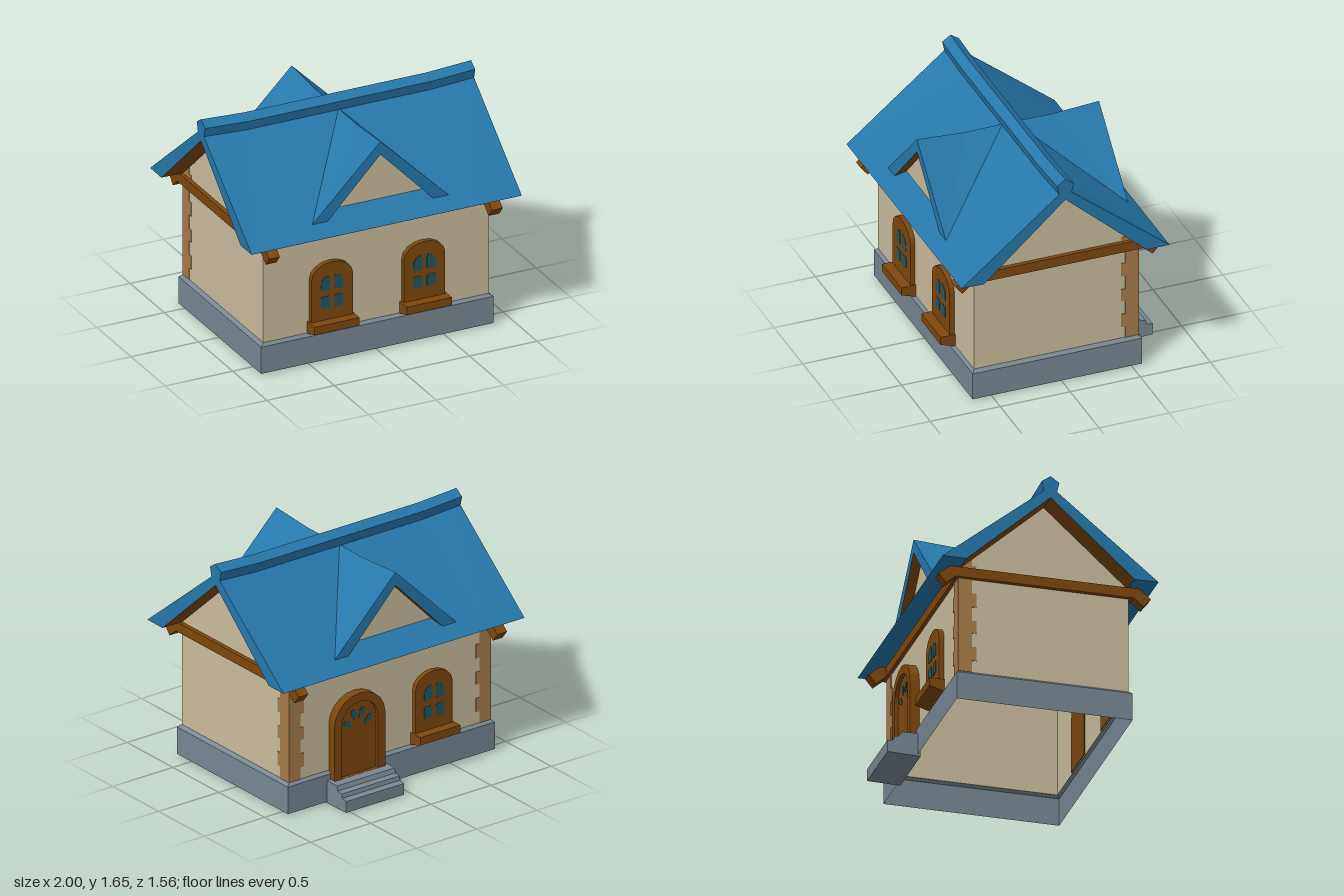
import * as THREE from 'three';

const paint = (name, color) => {
  const m = new THREE.MeshStandardMaterial({ color, side: THREE.DoubleSide });
  m.name = name;
  return m;
};

// Flat-shaded geometry from a list of convex polygons
function polygons(faces) {
  const pos = [];
  for (const f of faces)
    for (let i = 1; i < f.length - 1; i++) pos.push(...f[0], ...f[i], ...f[i + 1]);
  const g = new THREE.BufferGeometry();
  g.setAttribute('position', new THREE.Float32BufferAttribute(pos, 3));
  g.computeVertexNormals();
  return g;
}

// Quads between successive rows of points
function loft(rows, closed) {
  const faces = [];
  for (let r = 0; r < rows.length - 1; r++) {
    const a = rows[r], b = rows[r + 1], n = a.length;
    for (let i = 0; i < (closed ? n : n - 1); i++) {
      const j = (i + 1) % n;
      faces.push([a[i], a[j], b[j], b[i]]);
    }
  }
  return faces;
}

const rect = (x, z, y) => [[-x, y, z], [x, y, z], [x, y, -z], [-x, y, -z]];

// Solid running along x with a [z, y] profile
function prism(profile, x0, x1) {
  const rows = [x0, x1].map(x => profile.map(([z, y]) => [x, y, z]));
  return polygons([...loft(rows, true), rows[0].slice().reverse(), rows[1]]);
}

// Points of a round-topped outline
function arch(half, bottom, spring, top, n = 8) {
  const p = [new THREE.Vector2(-half, bottom), new THREE.Vector2(half, bottom)];
  for (let i = 0; i <= n; i++) {
    const a = Math.PI * i / n;
    p.push(new THREE.Vector2(half * Math.cos(a), spring + (top - spring) * Math.sin(a)));
  }
  return p;
}

function slab(shape, depth, z = 0) {
  return new THREE.ExtrudeGeometry(shape, { depth, bevelEnabled: false }).translate(0, 0, z);
}

export function createModel() {
  const blue = paint('roofBlue', 0x2678ab);
  const cream = paint('plasterCream', 0xcabd9c);
  const brown = paint('woodBrown', 0x7e470e);
  const gray = paint('stoneGray', 0x788792);
  const tan = paint('quoinTan', 0xa87c4a);
  const teal = paint('glassTeal', 0x20565f);

  const model = new THREE.Group();
  const house = new THREE.Group();
  house.name = 'house';
  house.position.z = 0.035;
  model.add(house);
  const add = (parent, name, geo, mat) => {
    const m = new THREE.Mesh(geo, mat);
    m.name = name;
    parent.add(m);
    return m;
  };
  const group = (name, x, z, turn) => {
    const g = new THREE.Group();
    g.name = name;
    g.position.set(x, 0, z);
    g.rotation.y = turn;
    house.add(g);
    return g;
  };

  // Plinth and wall shell, open below
  add(house, 'plinth', polygons(loft([rect(0.86, 0.605, 0.01), rect(0.86, 0.605, 0.205), rect(0.835, 0.585, 0.225)], true)), gray);
  add(house, 'walls', polygons([
    ...loft([rect(0.835, 0.585, 0.22), rect(0.835, 0.585, 0.97)], true),
    ...[-1, 1].map(s => [[s * 0.835, 0.97, s * 0.58], [s * 0.835, 0.97, -s * 0.58], [s * 0.835, 1.49, 0]]),
  ]), cream);

  // Main roof, its ends lifted slightly at the ridge
  const stations = [[-1, 0.018], [-0.68, 0], [0.68, 0], [1, 0.018]];
  const along = (profile) => stations.map(([x, lift]) => profile.map(([z, y, w = 1]) => [x, y + lift * w, z]));
  const outer = along([[0.58, 0.97, 0], [0.743, 0.972, 0], [0, 1.556], [-0.743, 0.972, 0], [-0.58, 0.97, 0]]);
  const inner = along([[0.58, 0.97, 0], [0, 1.49, 0], [-0.58, 0.97, 0]]);
  const verges = [0, 3].flatMap(i => [
    [outer[i][0], outer[i][1], outer[i][2], inner[i][1]],
    [inner[i][1], outer[i][2], outer[i][3], outer[i][4]],
  ]);
  add(house, 'roof', polygons([...loft(outer, false), ...verges]), blue);
  add(house, 'roofUnderside', polygons(loft(inner, false)), brown);
  const cap = along([[0, 1.628], [0.06, 1.587], [0.045, 1.52], [-0.045, 1.52], [-0.06, 1.587]]);
  add(house, 'ridgeCap', polygons([...loft(cap, true), cap[0], cap[3]]), blue);

  // Dormers, front and back
  for (const turn of [0, Math.PI]) {
    const d = group(turn ? 'backDormer' : 'frontDormer', 0, 0, turn);
    const skin = [], under = [], f = 0.65;
    for (const s of [-1, 1]) {
      const peak = [0, 1.545, f], foot = [s * 0.505, 1.045, f];
      const dip = [0, 1.522, 0.3], back = [0, 1.526, 0.035];
      const innerPeak = [0, 1.45, f], innerFoot = [s * 0.39, 1.045, f];
      skin.push([peak, foot, dip], [dip, foot, back], [peak, innerPeak, innerFoot, foot]);
      under.push([innerPeak, innerFoot, [s * 0.39, 1.045, 0.55], [0, 1.45, 0.55]]);
    }
    add(d, 'dormerRoof', polygons(skin), blue);
    add(d, 'dormerUnderside', polygons(under), brown);
    add(d, 'dormerGable', polygons([[[-0.433, 1, 0.585], [0.433, 1, 0.585], [0, 1.45, 0.585]]]), cream);
  }

  // Ring beam and rafter ends
  for (const s of [-1, 1]) {
    add(house, 'eaveBeam', new THREE.BoxGeometry(1.73, 0.07, 0.04).translate(0, 0.935, s * 0.59), brown);
    add(house, 'gableBeam', new THREE.BoxGeometry(0.04, 0.07, 1.14).translate(s * 0.845, 0.935, 0), brown);
    for (const t of [-1, 1]) {
      const profile = [[0.73, 0.905], [0.68, 0.843], [0.575, 0.932], [0.575, 0.97], [0.65, 0.97]];
      add(house, 'rafterEnd', prism(profile.map(([z, y]) => [t * z, y]), s * 0.785, s * 0.865), brown);
    }
  }

  // Toothed corner stones on the back corners
  const courses = [0.225, 0.31, 0.41, 0.51, 0.6, 0.7, 0.8, 0.9];
  const quoin = (tops) => {
    const p = [[0, 0.225]];
    courses.forEach((y, i) => {
      const w = i % 2 ? 0.126 : 0.095;
      p.push([w, y]);
      if (i < 7) p.push([w, courses[i + 1]]);
    });
    return slab(new THREE.Shape([...p, ...tops].map(q => new THREE.Vector2(...q))), 0.009, -0.0045);
  };
  const sideQuoin = quoin([[0.126, 1], [0.095, 1], [0.095, 1.05], [0, 0.965]]);
  const backQuoin = quoin([[0.126, 0.97], [0, 0.97]]);
  for (const s of [-1, 1]) {
    const side = add(house, 'sideCornerStones', sideQuoin, tan);
    side.position.set(s * 0.835, 0, -0.5895);
    side.rotation.y = -Math.PI / 2;
    const back = add(house, 'backCornerStones', backQuoin, tan);
    back.position.set(s * 0.8395, 0, -0.585);
    back.scale.x = -s;
  }

  // Arched windows with sills
  const frame = slab(new THREE.Shape(arch(0.153, 0.23, 0.62, 0.728)), 0.04, -0.005);
  const sill = prism([[0, 0.31], [0.105, 0.31], [0.105, 0.253], [0, 0.22]], -0.167, 0.167);
  const lowPane = [[0.02, 0.395], [0.072, 0.395], [0.083, 0.41], [0.083, 0.47], [0.075, 0.482], [0.025, 0.482], [0.016, 0.47], [0.016, 0.405]];
  const highPane = [[0.022, 0.525], [0.075, 0.525], [0.083, 0.538], [0.08, 0.59], [0.062, 0.617], [0.025, 0.632], [0.016, 0.615], [0.016, 0.54]];
  const paneShape = (pts, s = 1) => new THREE.Shape(pts.map(([x, y]) => new THREE.Vector2(s * x, y)));
  for (const [x, z, turn] of [[-0.342, 0.585, 0], [0.342, 0.585, 0], [-0.342, -0.585, Math.PI]]) {
    const w = group('window', x, z, turn);
    add(w, 'windowFrame', frame, brown);
    add(w, 'windowSill', sill, brown);
    for (const s of [-1, 1])
      for (const pts of [lowPane, highPane])
        add(w, 'windowPane', slab(paneShape(pts, s), 0.005, 0.033), teal);
  }

  // Back door with a fan of small panes
  const door = group('door', 0.295, -0.585, Math.PI);
  const surround = new THREE.Shape(arch(0.21, 0.165, 0.56, 0.75, 10));
  surround.holes.push(new THREE.Path(arch(0.15, 0.166, 0.55, 0.69, 10)));
  add(door, 'doorFrame', slab(surround, 0.07, -0.005), brown);
  add(door, 'doorLeaf', slab(new THREE.Shape(arch(0.155, 0.165, 0.55, 0.695, 10)), 0.045, -0.005), brown);
  for (const [x, y, tilt] of [[-0.085, 0.535, 0.9], [-0.032, 0.595, 0.3], [0.032, 0.595, -0.3], [0.085, 0.535, -0.9]]) {
    const petal = [[-0.012, -0.035], [0.012, -0.035], [0.022, 0.015], [0.014, 0.033], [-0.014, 0.033], [-0.022, 0.015]];
    const p = add(door, 'doorPane', slab(paneShape(petal), 0.005, 0.038), teal);
    p.position.set(x, y, 0);
    p.rotation.z = tilt;
  }

  // Stone steps below the door
  add(house, 'steps', prism([[-0.585, 0], [-0.585, 0.165], [-0.712, 0.163], [-0.722, 0.13], [-0.765, 0.124],
    [-0.77, 0.094], [-0.815, 0.087], [-0.813, 0.005]], 0.055, 0.535), gray);

  return model;
}
